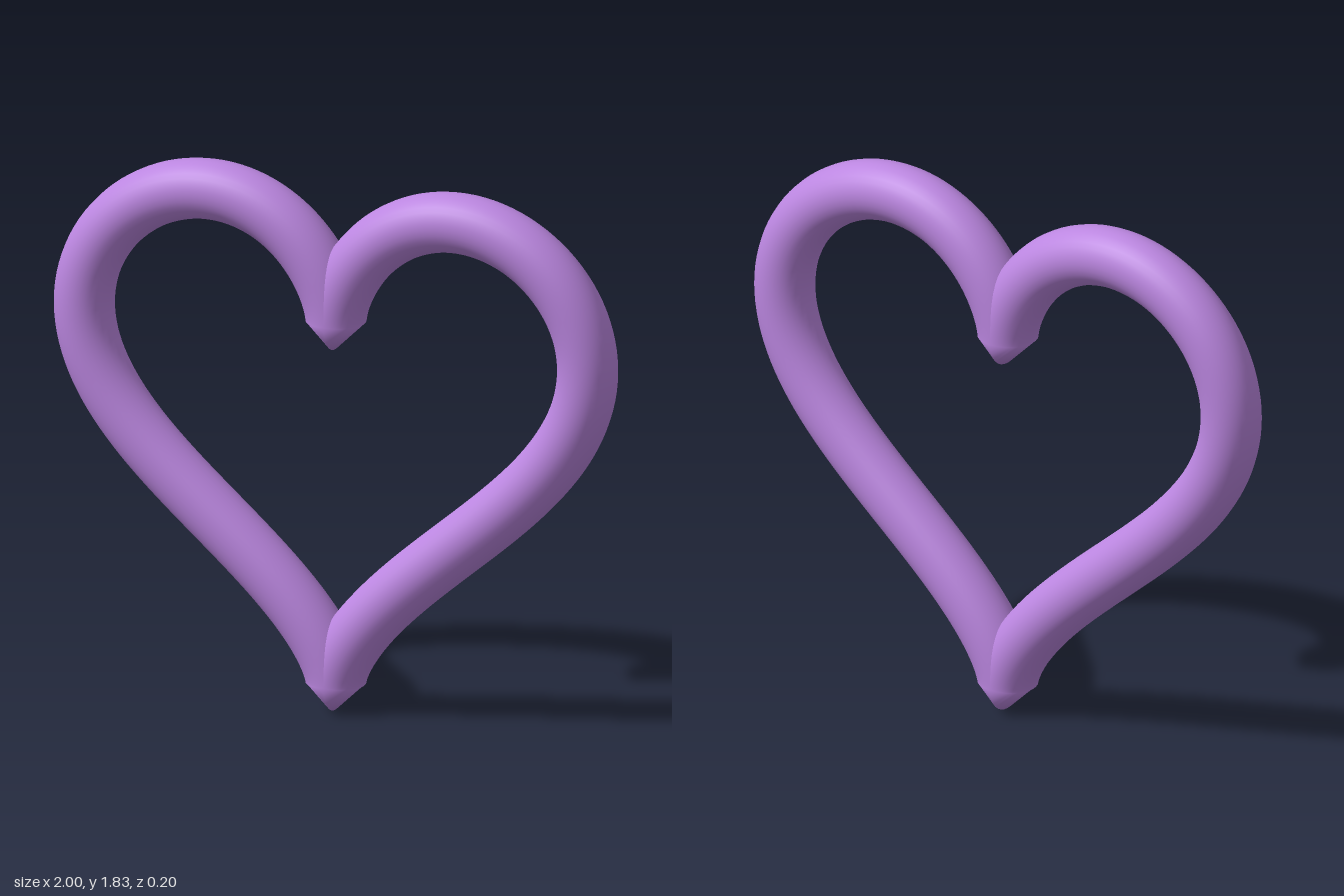
import * as THREE from 'three';

const SCALE = 0.9 / 16; // half-width of the centre line is 0.9
const RADIUS = 0.1;

// Closed heart-shaped centre line, with a cusp at the notch and at the tip
class HeartCurve extends THREE.Curve {
  getPoint(u, target = new THREE.Vector3()) {
    const t = u * Math.PI * 2;
    const x = 16 * Math.sin(t) ** 3;
    const y = 13 * Math.cos(t) - 5 * Math.cos(2 * t) - 2 * Math.cos(3 * t) - Math.cos(4 * t);
    return target.set(x * SCALE, (y + 17) * SCALE + RADIUS, 0);
  }

  getTangent(u, target = new THREE.Vector3()) {
    const t = u * Math.PI * 2;
    // At both cusps the ring stands in the mirror plane, giving a pointed mitre
    if (Math.abs(Math.sin(t)) < 1e-6) return target.set(Math.sign(Math.cos(t)), 0, 0);
    const dx = 48 * Math.sin(t) ** 2 * Math.cos(t);
    const dy = -13 * Math.sin(t) + 10 * Math.sin(2 * t) + 6 * Math.sin(3 * t) + 4 * Math.sin(4 * t);
    return target.set(dx, dy, 0).normalize();
  }

  // Sample by angle so that rings land exactly on the cusps
  getPointAt(u, target) { return this.getPoint(u, target); }
  getTangentAt(u, target) { return this.getTangent(u, target); }
}

export function createModel() {
  const group = new THREE.Group();
  group.name = 'heartRing';

  const purple = new THREE.MeshStandardMaterial({ color: 0xbb86e0 });
  purple.name = 'purple';

  // Round tube swept around the heart
  const tube = new THREE.Mesh(new THREE.TubeGeometry(new HeartCurve(), 240, RADIUS, 32, true), purple);
  tube.name = 'heartTube';
  group.add(tube);

  return group;
}
